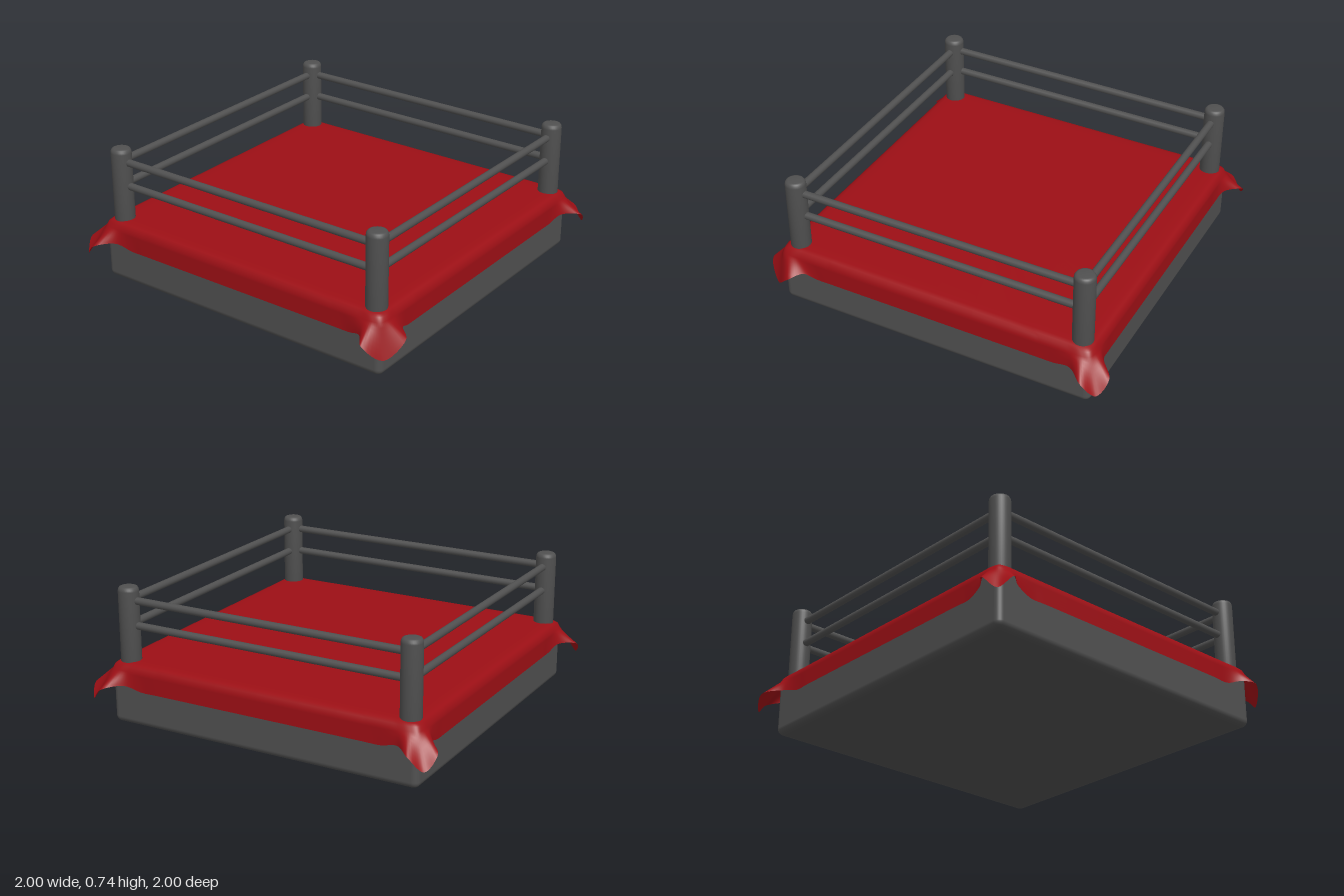
import * as THREE from 'three';
import { RoundedBoxGeometry } from 'three/addons/geometries/RoundedBoxGeometry.js';

const POST = 0.82;

// Cloth edge where it bends over the platform, one corner: [x, z]
const BEND = [[0.903, 0.6], [0.903, 0.7], [0.903, 0.78], [0.903, 0.85], [0.89, 0.89],
  [0.85, 0.903], [0.78, 0.903], [0.7, 0.903], [0.6, 0.903]];
// Cloth hem at a widely flared corner: [x, z, y]
const FLARED = [[0.906, 0.6, 0.2], [0.906, 0.7, 0.2], [0.925, 0.8, 0.225], [1.0, 0.895, 0.21], [0.965, 0.965, 0.14],
  [0.895, 1.0, 0.21], [0.8, 0.925, 0.225], [0.7, 0.906, 0.2], [0.6, 0.906, 0.2]];
// Cloth hem at the corner folded into two lobes
const FOLDED = [[0.906, 0.6, 0.2], [0.906, 0.68, 0.2], [0.925, 0.75, 0.225], [0.985, 0.81, 0.205], [0.93, 0.915, 0.12],
  [0.85, 0.99, 0.205], [0.8, 0.935, 0.225], [0.72, 0.906, 0.2], [0.6, 0.906, 0.2]];

// Closed curve around the platform made from four corners, each turned a quarter
function around(corners) {
  const points = [];
  corners.forEach((corner, k) => {
    for (let [x, z, y = 0.3] of corner) {
      for (let i = 0; i < k; i++) [x, z] = [-z, x];
      points.push(new THREE.Vector3(x, y, z));
    }
  });
  return new THREE.CatmullRomCurve3(points, true);
}

// Sheet lofted in rings from the centre, over the edge and down to the hem
function clothGeometry() {
  const bend = around([BEND, BEND, BEND, BEND]);
  const hem = around([FOLDED, FLARED, FLARED, FLARED]);
  const top = [[0.02, 0.34], [0.5, 0.34], [0.9, 0.34], [0.95, 0.339], [0.975, 0.333], [0.99, 0.322]];
  const n = 216, skirt = 7;
  const positions = [0, 0.34, 0], index = [];
  for (const [s, y] of top) {
    for (let j = 0; j < n; j++) {
      const p = bend.getPoint(j / n);
      positions.push(p.x * s, y, p.z * s);
    }
  }
  for (let i = 0; i <= skirt; i++) {
    const t = i / skirt;
    for (let j = 0; j < n; j++) {
      const p = bend.getPoint(j / n).lerp(hem.getPoint(j / n), t);
      positions.push(p.x, p.y, p.z);
    }
  }
  const rings = top.length + skirt + 1;
  for (let j = 0; j < n; j++) {
    const k = (j + 1) % n;
    index.push(0, 1 + k, 1 + j);
    for (let i = 0; i < rings - 1; i++) {
      const a = 1 + i * n + j, b = 1 + i * n + k;
      index.push(a, b, a + n, b, b + n, a + n);
    }
  }
  const geometry = new THREE.BufferGeometry();
  geometry.setAttribute('position', new THREE.Float32BufferAttribute(positions, 3));
  geometry.setIndex(index);
  geometry.computeVertexNormals();
  return geometry;
}

export function createModel() {
  const model = new THREE.Group();
  const grey = new THREE.MeshStandardMaterial({ color: 0x505050 });
  const red = new THREE.MeshStandardMaterial({ color: 0x9c0f15, side: THREE.DoubleSide });

  function add(name, geometry, material, x = 0, y = 0, z = 0) {
    const mesh = new THREE.Mesh(geometry, material);
    mesh.name = name;
    mesh.position.set(x, y, z);
    model.add(mesh);
    return mesh;
  }

  // Platform and its draped cover
  add('platform', new RoundedBoxGeometry(1.79, 0.325, 1.79, 5, 0.035), grey, 0, 0.1625, 0);
  add('clothCover', clothGeometry(), red);

  // Corner posts with softened tops
  const profile = [[0, 0.25], [0.055, 0.25], [0.055, 0.715], [0.053, 0.726], [0.047, 0.735], [0.037, 0.739], [0, 0.74]];
  const postGeometry = new THREE.LatheGeometry(profile.map(([r, y]) => new THREE.Vector2(r, y)), 32);
  for (const x of [-POST, POST]) {
    for (const z of [-POST, POST]) add('cornerPost', postGeometry, grey, x, 0, z);
  }

  // Two ropes on each side
  const ropeGeometry = new THREE.CylinderGeometry(0.02, 0.02, POST * 2, 16);
  for (const y of [0.53, 0.665]) {
    for (const side of [-POST, POST]) {
      add('rope', ropeGeometry, grey, 0, y, side).rotation.z = Math.PI / 2;
      add('rope', ropeGeometry, grey, side, y, 0).rotation.x = Math.PI / 2;
    }
  }
  return model;
}
